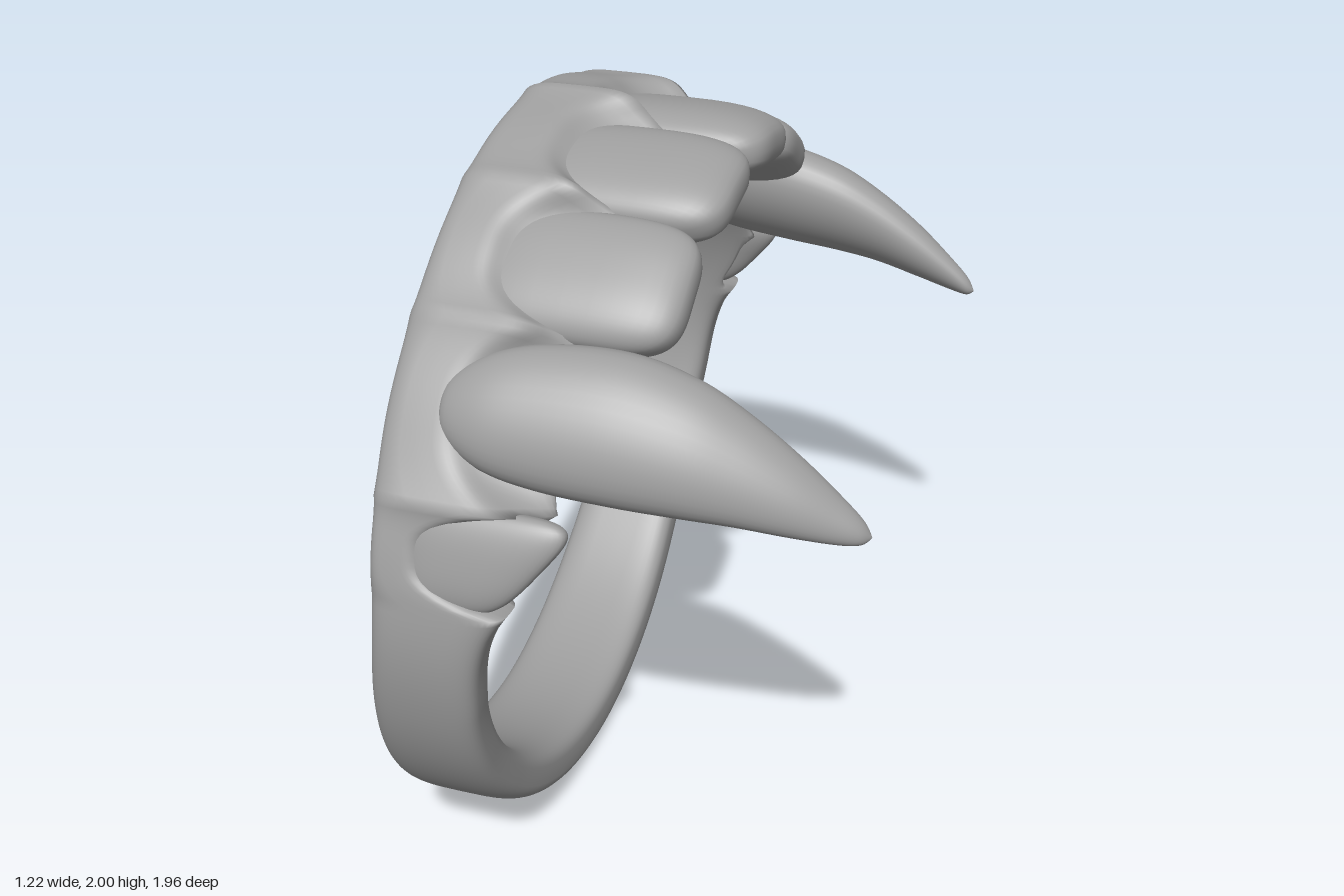
import * as THREE from 'three';

const AXIS_Y = 1; // height of the ring's centre; its axis runs along x
const rad = THREE.MathUtils.degToRad;
const lerp = THREE.MathUtils.lerp;

// Teeth of one half: angle from the top, half width (degrees), gum line x
const TEETH = [
  { name: 'incisor', at: 11.3, half: 11.3, gum: -0.27, back: -0.38, front: 0.16, r: 0.857, thick: 0.086 },
  { name: 'lateralIncisor', at: 33.5, half: 10.9, gum: -0.3, back: -0.4, front: 0.14, r: 0.855, thick: 0.085 },
  { name: 'canine', at: 57.2, half: 12.8, gum: -0.3 },
  { name: 'premolar', at: 77.5, half: 7.5, gum: -0.36, back: -0.41, front: -0.08, r: 0.925, thick: 0.045, slant: 0.1 },
];

// Band measures every 15 degrees from the top to the bottom
const BACK = [-0.455, -0.46, -0.465, -0.475, -0.487, -0.485, -0.495, -0.53, -0.565, -0.59, -0.605, -0.61, -0.61];
const FRONT = [0.05, 0.05, 0.05, 0.03, 0.0, -0.05, -0.205, -0.255, -0.275, -0.28, -0.28, -0.28, -0.28];
const OUTER = [0.98, 0.975, 0.965, 0.95, 0.95, 0.97, 0.98, 0.98, 0.983, 0.988, 0.993, 0.998, 1.0];
const INNER = [0.83, 0.83, 0.83, 0.83, 0.83, 0.835, 0.842, 0.845, 0.845, 0.847, 0.85, 0.85, 0.85];

// Smooth lookup in evenly spaced values, mirrored at both ends
function smooth(keys, t) {
  const last = keys.length - 1;
  const i = Math.min(Math.floor(t), last - 1);
  const f = t - i;
  const k = (n) => keys[n < 0 ? -n : n > last ? 2 * last - n : n];
  const [a, b, c, d] = [k(i - 1), k(i), k(i + 1), k(i + 2)];
  return b + 0.5 * f * (c - a + f * (2 * a - 5 * b + 4 * c - d + f * (3 * (b - c) + d - a)));
}

const superCos = (a, n) => Math.sign(Math.cos(a)) * Math.abs(Math.cos(a)) ** (2 / n);
const superSin = (a, n) => Math.sign(Math.sin(a)) * Math.abs(Math.sin(a)) ** (2 / n);
const onRing = (x, r, deg) => [x, AXIS_Y + r * Math.cos(rad(deg)), r * Math.sin(rad(deg))];

// Skin over closed cross-sections; point(u, a) with u in 0..1 and a in 0..2PI
function loft(rows, cols, closed, point) {
  const pos = [];
  const index = [];
  const count = closed ? rows : rows + 1;
  for (let i = 0; i < count; i++) {
    for (let j = 0; j < cols; j++) pos.push(...point(i / rows, (j / cols) * Math.PI * 2));
  }
  for (let i = 0; i < rows; i++) {
    for (let j = 0; j < cols; j++) {
      const i2 = (i + 1) % count;
      const j2 = (j + 1) % cols;
      const [a, b, c, d] = [i * cols + j, i * cols + j2, i2 * cols + j, i2 * cols + j2];
      index.push(a, b, c, b, d, c);
    }
  }
  const geo = new THREE.BufferGeometry();
  geo.setAttribute('position', new THREE.Float32BufferAttribute(pos, 3));
  geo.setIndex(index);
  geo.computeVertexNormals();
  return geo;
}

// Ring band whose upper front edge is a scalloped gum line
function bandGeometry() {
  return loft(360, 40, true, (u, a) => {
    const deg = u * 360;
    const fromTop = Math.min(deg, 360 - deg);
    const t = fromTop / 15;
    const front = smooth(FRONT, t);
    let gum = front;
    let ridge = 0;
    const tooth = TEETH.find((o) => Math.abs(fromTop - o.at) <= o.half + 0.01);
    if (tooth) {
      const d = Math.abs(fromTop - tooth.at) / tooth.half;
      gum = lerp(tooth.gum, Math.min(front, -0.14), d ** 3);
      ridge = 0.02 * d ** 4 * THREE.MathUtils.smoothstep(85 - fromTop, 0, 15);
    }
    const c = superCos(a, 4);
    const s = superSin(a, 3.5);
    const edge = lerp(gum, front, ((1 - s) / 2) ** 2);
    const x = lerp(smooth(BACK, t), edge, (c + 1) / 2);
    const r = lerp(smooth(INNER, t), smooth(OUTER, t) + ridge, (s + 1) / 2);
    return onRing(x, r, deg);
  });
}

// Rounded tooth bent around the ring
function toothGeometry(o, side) {
  return loft(36, 40, false, (u, a) => {
    const w = Math.sin((u - 0.5) * Math.PI);
    const long = Math.max(0, 1 - Math.abs(w) ** 4) ** (1 / 4);
    const deep = Math.max(0, 1 - Math.abs(w) ** 2.8) ** (1 / 2.8);
    const c = superCos(a, 2.8) * long;
    const front = o.front - (o.slant || 0) * w * side;
    const x = lerp(o.back, front, (c + 1) / 2);
    const r = o.r + o.thick * superSin(a, 2.8) * deep;
    return onRing(x, r, side * o.at + w * o.half * 1.05);
  });
}

// Fang stations: x, y, z, half width along the ring, half depth
const FANG = [
  [-0.36, 1.5, 0.76, 0.0, 0.0],
  [-0.34, 1.5, 0.755, 0.075, 0.05],
  [-0.25, 1.5, 0.745, 0.135, 0.085],
  [-0.12, 1.495, 0.728, 0.165, 0.105],
  [0.05, 1.485, 0.715, 0.172, 0.11],
  [0.2, 1.46, 0.708, 0.155, 0.1],
  [0.32, 1.422, 0.7, 0.126, 0.082],
  [0.44, 1.368, 0.688, 0.09, 0.062],
  [0.54, 1.315, 0.674, 0.052, 0.038],
  [0.59, 1.288, 0.665, 0.026, 0.022],
  [0.61, 1.278, 0.66, 0.0, 0.0],
];

function fangGeometry(side) {
  const phi = rad(57 * side);
  const columns = [0, 1, 2, 3, 4].map((k) => FANG.map((s) => s[k]));
  return loft(60, 36, false, (u, a) => {
    const [x, y, z, w, d] = columns.map((col) => smooth(col, u * (FANG.length - 1)));
    const out = Math.cos(a) * d;
    const along = Math.sin(a) * w;
    return [
      x,
      y + out * Math.cos(phi) - along * Math.sin(phi),
      side * z + out * Math.sin(phi) + along * Math.cos(phi),
    ];
  });
}

export function createModel() {
  const model = new THREE.Group();
  model.name = 'fangRing';
  const metal = new THREE.MeshStandardMaterial({ color: 0xa0a0a0 });
  metal.name = 'grey metal';

  const add = (name, geo) => {
    const mesh = new THREE.Mesh(geo, metal);
    mesh.name = name;
    model.add(mesh);
  };

  add('band', bandGeometry());
  for (const side of [1, -1]) {
    const suffix = side > 0 ? 'Front' : 'Back';
    for (const o of TEETH) {
      add(o.name + suffix, o.name === 'canine' ? fangGeometry(side) : toothGeometry(o, side));
    }
  }
  return model;
}
